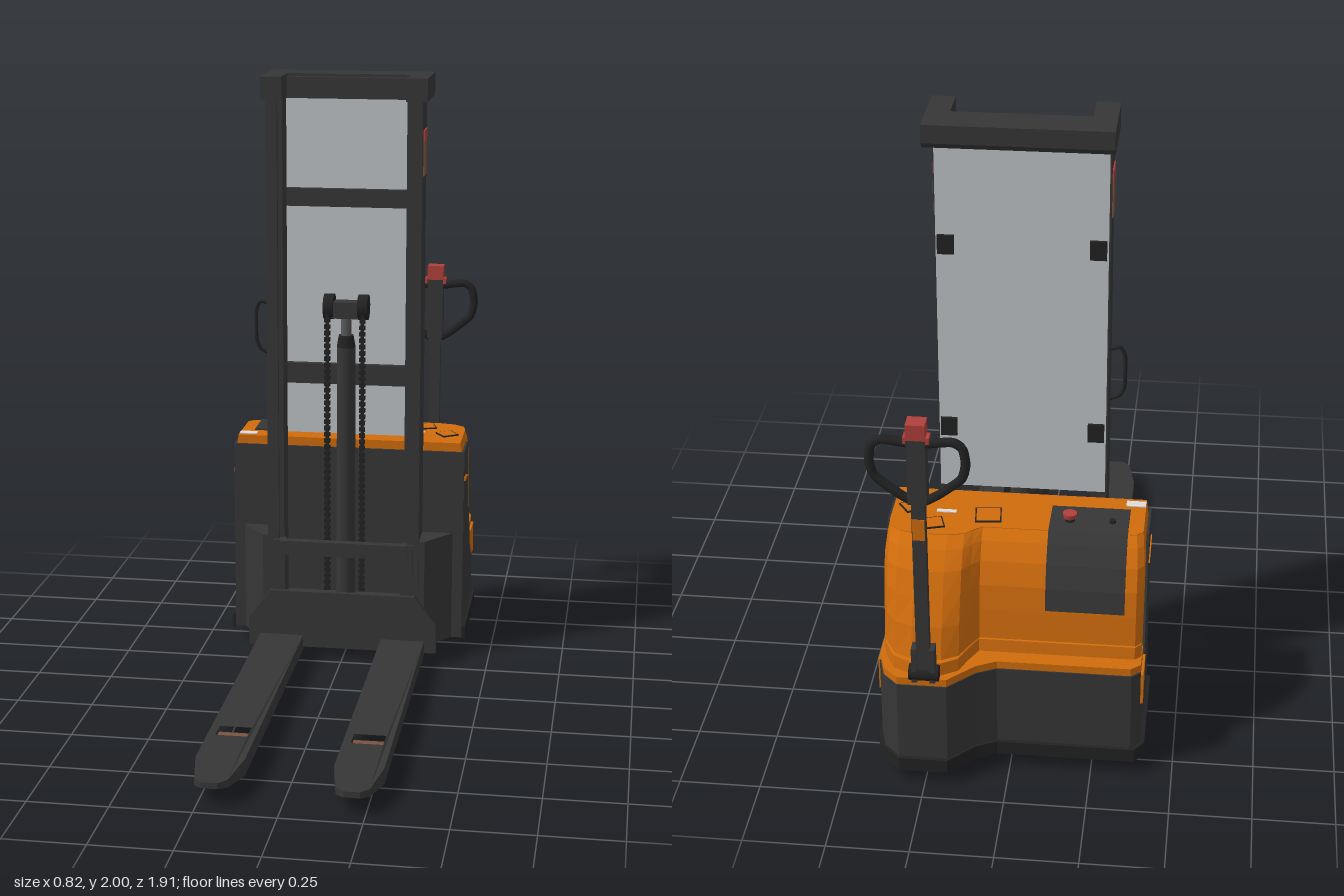
import * as THREE from 'three';

const mat = (name, color, side = THREE.FrontSide) => {
  const m = new THREE.MeshStandardMaterial({ color, side });
  m.name = name;
  return m;
};

export function createModel() {
  const root = new THREE.Group();
  root.name = 'palletStacker';
  const dark = mat('charcoal', 0x363636), black = mat('black', 0x222222);
  const orange = mat('orange', 0xd06c0c), red = mat('red', 0xb0403a);
  const brown = mat('brown', 0x7a5240), white = mat('white', 0xdddddd);
  const grey = mat('wheelGrey', 0x585858), sheet = mat('screenGrey', 0xbfc3c6, THREE.DoubleSide);

  const add = (name, geo, m, x = 0, y = 0, z = 0, parent = root) => {
    const o = new THREE.Mesh(geo, m);
    o.name = name;
    o.position.set(x, y, z);
    parent.add(o);
    return o;
  };
  // Box given by its minimum and maximum on each axis
  const box = (name, m, x0, x1, y0, y1, z0, z1) =>
    add(name, new THREE.BoxGeometry(x1 - x0, y1 - y0, z1 - z0), m, (x0 + x1) / 2, (y0 + y1) / 2, (z0 + z1) / 2);
  const shapeOf = pts => new THREE.Shape(pts.map(p => new THREE.Vector2(...p)));
  const extrude = (shape, depth) => new THREE.ExtrudeGeometry(shape, { depth, bevelEnabled: false });
  // Plan outline [x, z] raised from y0 to y1
  const planGeo = (pts, y0, y1, hole) => {
    const s = shapeOf(pts.map(([x, z]) => [x, -z]));
    if (hole) s.holes.push(shapeOf(hole.map(([x, z]) => [x, -z])));
    return extrude(s, y1 - y0).rotateX(-Math.PI / 2).translate(0, y0, 0);
  };
  // Side outline [z, y] swept from x0 to x1
  const sideGeo = (pts, x0, x1) =>
    extrude(shapeOf(pts.map(([z, y]) => [-z, y])), x1 - x0).rotateY(Math.PI / 2).translate(x0, 0, 0);
  const tube = (pts, r, closed = false) => new THREE.TubeGeometry(
    new THREE.CatmullRomCurve3(pts.map(p => new THREE.Vector3(...p)), closed, 'catmullrom', 0.3), 32, r, 8, closed);

  // Chassis: bumper, skirt and ledge share one stepped footprint
  const footprint = d => [[-0.4 - d, -0.43], [-0.4 - d, -0.78], [-0.37 - d, -0.81 - d], [0.04, -0.81 - d],
    [0.1, -0.84 - d], [0.18, -0.92 - d], [0.33, -0.92 - d], [0.38 + d, -0.87], [0.4 + d, -0.8], [0.4 + d, -0.43]];
  add('bumper', planGeo(footprint(0.012), 0.045, 0.09), black);
  add('skirt', planGeo(footprint(0), 0.09, 0.355), dark);
  add('ledge', planGeo(footprint(-0.004), 0.355, 0.38), orange);

  // Hood: lofted outlines, with a rounded bulge on the tiller side
  const hoodLevels = [[0.38, -0.755, -0.895], [0.42, -0.75, -0.89], [0.422, -0.745, -0.875], [0.52, -0.737, -0.848],
    [0.6, -0.725, -0.81], [0.67, -0.7, -0.775], [0.72, -0.665, -0.73], [0.748, -0.635, -0.69]];
  const ring = ([, l, r], i) => {
    const n = Math.max(0, i - 5) * 0.004, at = t => l + (r - l) * t;
    return [[-0.394 + n, -0.43], [-0.394 + n, l + 0.02], [-0.375 + n, l], [0.1, l], [0.125, at(0.35)], [0.15, at(0.78)],
      [0.2, r], [0.29, r], [0.345, at(0.8)], [0.378, at(0.35)], [0.394 - n, l + 0.02], [0.394 - n, -0.43]];
  };
  const rings = hoodLevels.map(ring), verts = [], n = rings[0].length;
  for (let j = 0; j < rings.length - 1; j++) {
    for (let i = 0; i < n; i++) {
      const p = (jj, ii) => [rings[jj][ii % n][0], hoodLevels[jj][0], rings[jj][ii % n][1]];
      const a = p(j, i), b = p(j, i + 1), c = p(j + 1, i), d = p(j + 1, i + 1);
      verts.push(...a, ...c, ...b, ...b, ...c, ...d);
    }
  }
  const hood = new THREE.BufferGeometry();
  hood.setAttribute('position', new THREE.Float32BufferAttribute(verts, 3));
  hood.computeVertexNormals();
  add('hood', hood, orange);
  add('hoodTop', planGeo(rings[rings.length - 1], 0.742, 0.75), orange);

  // Dark cladding on the front and both flanks, with orange trims
  box('frontCladding', dark, -0.4, 0.4, 0.05, 0.72, -0.432, -0.423);
  for (const s of [-1, 1]) {
    const x0 = s > 0 ? 0.393 : -0.401, x1 = x0 + 0.008, o = s * 0.004;
    add('sideCladding', sideGeo([[-0.43, 0.355], [-0.43, 0.72], [-0.575, 0.72], [-0.6, 0.59], [-0.635, 0.47],
      [-0.69, 0.355]], x0, x1), dark);
    add('sideTrim', sideGeo([[-0.69, 0.357], [-0.715, 0.3], [-0.765, 0.25], [-0.798, 0.25], [-0.798, 0.357]],
      x0 + o, x1 + o), orange);
    add('sideFlash', sideGeo([[-0.435, 0.63], [-0.5, 0.62], [-0.56, 0.605], [-0.5, 0.607], [-0.435, 0.615]],
      x0 + o, x1 + o), orange);
    // Angled gusset joining mast and chassis
    const gusset = [[0.24, -0.31], [0.28, -0.31], [0.37, -0.43], [0.24, -0.43]].map(([x, z]) => [s * x, z]);
    add('gusset', planGeo(gusset, 0.05, 0.43), dark);
  }

  // Control panel folded over the rear edge of the hood
  add('controlPanel', sideGeo([[-0.5, 0.748], [-0.5, 0.755], [-0.637, 0.755], [-0.671, 0.722], [-0.706, 0.672],
    [-0.731, 0.6], [-0.742, 0.53], [-0.735, 0.53], [-0.724, 0.6], [-0.699, 0.67], [-0.664, 0.72], [-0.633, 0.748]],
  -0.34, -0.1), dark);
  add('stopButtonStem', new THREE.CylinderGeometry(0.014, 0.016, 0.02, 16), black, -0.16, 0.76, -0.58);
  add('stopButton', new THREE.CylinderGeometry(0.022, 0.019, 0.015, 20), red, -0.16, 0.774, -0.58);
  add('key', new THREE.CylinderGeometry(0.01, 0.01, 0.012, 12), black, -0.29, 0.759, -0.58);
  box('label', white, -0.385, -0.325, 0.749, 0.753, -0.475, -0.445);
  box('label', white, 0.19, 0.25, 0.749, 0.753, -0.565, -0.55);
  // Shallow trays on the hood top
  for (const [x, z, w, d, turn] of [[0.09, -0.57, 0.08, 0.08, 0.1], [0.25, -0.63, 0.06, 0.06, 0.3], [0.33, -0.54, 0.06, 0.06, 0.6]]) {
    add('trayRim', new THREE.BoxGeometry(w, 0.006, d), black, x, 0.751, z).rotation.y = turn;
    add('tray', new THREE.BoxGeometry(w - 0.008, 0.008, d - 0.008), orange, x, 0.751, z).rotation.y = turn;
  }

  // Mast: mirrored channels with an inner rail and side labels
  for (const s of [-1, 1]) {
    const side = (name, m, a, b, ...r) => box(name, m, Math.min(s * a, s * b), Math.max(s * a, s * b), ...r);
    side('mastWeb', dark, 0.245, 0.26, 0.04, 1.995, -0.42, -0.3);
    side('mastFrontFlange', dark, 0.222, 0.25, 0.04, 1.995, -0.315, -0.3);
    side('mastRearFlange', dark, 0.222, 0.25, 0.04, 1.995, -0.42, -0.405);
    side('innerRail', dark, 0.207, 0.235, 0.06, 1.98, -0.4, -0.32);
    side('mastLabel', brown, 0.258, 0.264, 1.68, 1.79, -0.4, -0.325);
    side('mastLabelHeading', red, 0.258, 0.264, 1.79, 1.83, -0.4, -0.325);
    side('topArm', dark, 0.205, 0.275, 1.925, 2, -0.44, -0.298);
    side('carriagePost', dark, 0.2, 0.24, 0.05, 0.42, -0.33, -0.292);
    for (const y of [0.95, 1.56]) side('screenBracket', black, 0.2, 0.25, y, y + 0.06, -0.44, -0.42);
  }
  add('topBeam', sideGeo([[-0.42, 2], [-0.535, 2], [-0.535, 1.945], [-0.515, 1.925], [-0.42, 1.925]], -0.275, 0.275), dark);
  for (const [y0, y1] of [[0.95, 1.02], [1.56, 1.62], [1.92, 1.99]]) box('mastCrossbar', dark, -0.215, 0.215, y0, y1, -0.422, -0.4);
  box('carriageCrossbar', dark, -0.22, 0.22, 0.37, 0.42, -0.31, -0.28);
  box('mastFoot', dark, -0.25, 0.25, 0.04, 0.2, -0.43, -0.38);
  box('protectiveScreen', sheet, -0.255, 0.255, 0.77, 1.93, -0.43, -0.426);
  add('grabHandle', tube([[-0.255, 1.23, -0.36], [-0.29, 1.24, -0.36], [-0.305, 1.21, -0.36], [-0.305, 1.11, -0.36],
    [-0.29, 1.075, -0.36], [-0.255, 1.06, -0.36]], 0.006), black);

  // Lift cylinder, crosshead and chains
  add('liftCylinder', new THREE.CylinderGeometry(0.032, 0.032, 1.04, 20), dark, 0, 0.57, -0.37);
  add('cylinderCollar', new THREE.CylinderGeometry(0.025, 0.032, 0.04, 20), black, 0, 1.11, -0.37);
  add('liftRod', new THREE.CylinderGeometry(0.018, 0.018, 0.12, 16), grey, 0, 1.16, -0.37);
  box('crosshead', dark, -0.045, 0.045, 1.19, 1.245, -0.4, -0.345);
  const links = new THREE.BoxGeometry(0.02, 0.014, 0.012), pins = new THREE.BoxGeometry(0.011, 0.022, 0.008);
  for (const s of [-1, 1]) {
    add('chainPulley', new THREE.CylinderGeometry(0.043, 0.043, 0.034, 20).rotateZ(Math.PI / 2), black, s * 0.058, 1.226, -0.375);
    for (let i = 0; i < 44; i++) {
      add('chainLink', links, black, s * 0.06, 0.24 + i * 0.022, -0.335);
      add('chainPin', pins, black, s * 0.06, 0.251 + i * 0.022, -0.335);
    }
  }

  // Fork carriage plate
  add('carriagePlate', extrude(shapeOf([[-0.325, 0.04], [0.325, 0.04], [0.325, 0.14], [0.25, 0.24], [-0.25, 0.24],
    [-0.325, 0.14]]), 0.018).translate(0, 0, -0.295), dark);

  // Forks with tapered tips and load rollers in slots
  for (const s of [-1, 1]) {
    const c = s * 0.21, at = pts => pts.map(([x, z]) => [c + x, z]);
    const fork = planGeo(at([[-0.075, -0.285], [0.075, -0.285], [0.075, 0.79], [0.05, 0.925], [0.025, 0.95], [-0.025, 0.95],
      [-0.05, 0.925], [-0.075, 0.79]]), 0.03, 0.082, at([[-0.05, 0.55], [0.05, 0.55], [0.05, 0.62], [-0.05, 0.62]]));
    const p = fork.attributes.position;
    for (let i = 0; i < p.count; i++) {
      const t = Math.max(0, (p.getZ(i) - 0.79) / 0.16);
      p.setY(i, p.getY(i) + (p.getY(i) < 0.05 ? 0.025 : -0.008) * t);
    }
    fork.computeVertexNormals();
    add('fork', fork, dark);
    add('loadRoller', new THREE.CylinderGeometry(0.032, 0.032, 0.094, 20).rotateZ(Math.PI / 2), brown, c, 0.043, 0.585);
  }

  // Drive wheel and stabiliser wheel under the chassis
  for (const [x, z] of [[0.24, -0.77], [-0.24, -0.61]]) {
    box('wheelWell', black, x - 0.085, x + 0.085, 0.038, 0.046, z - 0.075, z + 0.075);
    add('wheel', new THREE.CylinderGeometry(0.065, 0.065, 0.08, 24).rotateZ(Math.PI / 2), grey, x, 0.065, z);
  }

  // Tiller: pivot, shaft and a head with two loop grips
  const tiller = new THREE.Group();
  tiller.name = 'tiller';
  tiller.position.set(0.245, 0.4, -0.917);
  tiller.rotation.x = -0.018;
  root.add(tiller);
  add('pivot', new THREE.CylinderGeometry(0.025, 0.025, 0.09, 16).rotateZ(Math.PI / 2), black, 0, 0.005, 0, tiller);
  for (const s of [-1, 1]) {
    add('pivotFork', new THREE.BoxGeometry(0.016, 0.12, 0.04), dark, s * 0.027, 0.04, 0, tiller);
    add('loopGrip', tube([[s * 0.02, 0.61, 0], [s * 0.06, 0.635, 0], [s * 0.125, 0.69, 0], [s * 0.138, 0.74, 0],
      [s * 0.13, 0.79, 0], [s * 0.1, 0.81, 0], [s * 0.02, 0.8, 0]], 0.014), black, 0, 0, 0, tiller);
  }
  add('shaft', new THREE.BoxGeometry(0.04, 0.64, 0.028), dark, 0, 0.31, 0, tiller);
  add('shaftLabel', new THREE.BoxGeometry(0.036, 0.07, 0.008), orange, 0, 0.52, -0.012, tiller);
  add('head', new THREE.BoxGeometry(0.055, 0.22, 0.05), dark, 0, 0.72, 0, tiller);
  add('safetyButton', new THREE.BoxGeometry(0.056, 0.05, 0.052), red, 0, 0.848, 0, tiller);
  add('thumbSwitch', new THREE.BoxGeometry(0.075, 0.02, 0.035), red, 0, 0.818, 0, tiller);

  return root;
}
